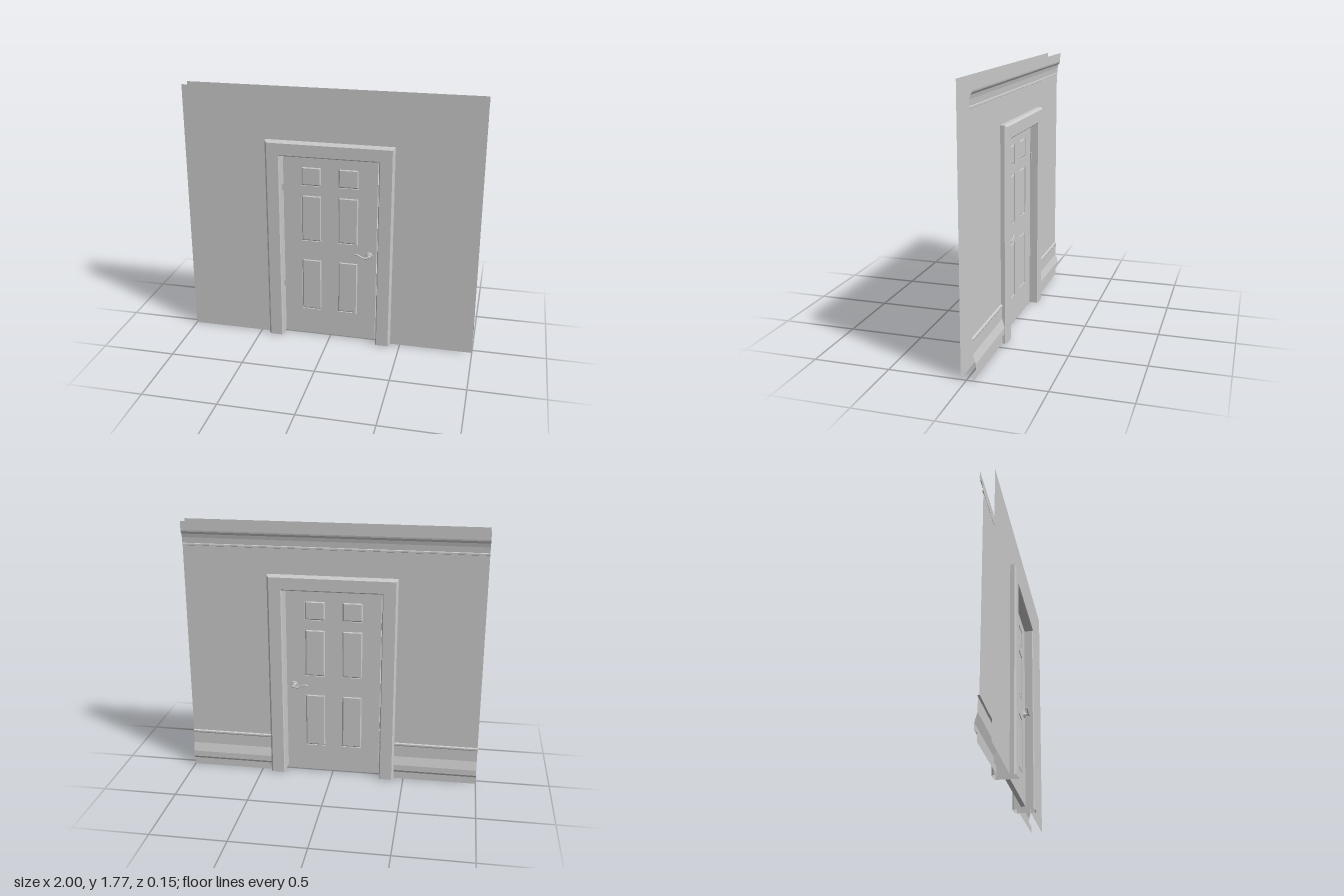
import * as THREE from 'three';

const grey = new THREE.MeshStandardMaterial({ color: 0xcccccc });
const thin = new THREE.MeshStandardMaterial({ color: 0xcccccc, side: THREE.DoubleSide });

// Join neighbouring cross-sections with flat-shaded quads
function loft(sections) {
  const pos = [];
  for (let i = 0; i < sections.length - 1; i++) {
    for (let j = 0; j < sections[i].length - 1; j++) {
      const a = sections[i][j], b = sections[i + 1][j];
      const c = sections[i + 1][j + 1], d = sections[i][j + 1];
      pos.push(...a, ...b, ...c, ...a, ...c, ...d);
    }
  }
  const g = new THREE.BufferGeometry();
  g.setAttribute('position', new THREE.Float32BufferAttribute(pos, 3));
  g.computeVertexNormals();
  return g;
}

function rect(Type, x0, y0, x1, y1) {
  const s = new Type();
  s.moveTo(x0, y0);
  s.lineTo(x1, y0);
  s.lineTo(x1, y1);
  s.lineTo(x0, y1);
  s.closePath();
  return s;
}

export function createModel() {
  const model = new THREE.Group();
  model.name = 'doorInWall';
  const add = (name, geometry, material = grey, parent = model) => {
    const m = new THREE.Mesh(geometry, material);
    m.name = name;
    parent.add(m);
    return m;
  };

  const H = 1.77, holeX = 0.4, holeY = 1.39, wallZ = 0.035;

  // Front wall: plain sheet around the doorway
  const wall = new THREE.Shape();
  [[-1, 0], [-holeX, 0], [-holeX, holeY], [holeX, holeY], [holeX, 0], [1, 0], [1, H], [-1, H]]
    .forEach(([x, y], i) => (i ? wall.lineTo(x, y) : wall.moveTo(x, y)));
  add('frontWall', new THREE.ShapeGeometry(wall), thin).position.z = wallZ;

  // Back wall: one profile (y, z) holding baseboard, flat wall and crown moulding
  const base = [[0, -0.043], [0.05, -0.043], [0.07, -0.06], [0.11, -0.06], [0.17, -0.043],
    [0.25, -0.043], [0.256, -0.046], [0.266, -0.046], [0.27, -wallZ]];
  const middle = [[holeY, -wallZ]];
  const crown = [[1.605, -wallZ], [1.608, -0.041], [1.618, -0.041], [1.622, -0.038], [1.66, -0.041],
    [1.685, -0.047], [1.7, -0.058], [1.71, -0.06], [H, -0.06]];
  const strip = (profile, x0, x1) =>
    loft([x1, x0].map((x) => profile.map(([y, z]) => [x, y, z])));
  const full = [...base, ...middle, ...crown];
  add('backWallRight', strip(full, -1, -holeX), thin);
  add('backWallLeft', strip(full, holeX, 1), thin);
  add('backWallOverDoor', strip([...middle, ...crown], -holeX, holeX), thin);

  // Door frame: chamfered section (outward offset, z) swept up, across and down
  const section = [[0, 0.068], [0.007, 0.075], [0.087, 0.075], [0.1, 0.062],
    [0.1, -0.062], [0.087, -0.075], [0.007, -0.075], [0, -0.068], [0, 0.068]];
  const openX = 0.333, openY = 1.333;
  const stations = [[-1, 0], [-1, 1], [1, 1], [1, 0]];
  add('doorFrame', loft(stations.map(([side, top]) =>
    section.map(([d, z]) => [side * (openX + d), top * (openY + d), z]))), thin);

  // Door leaf with six panel openings
  const door = new THREE.Group();
  door.name = 'door';
  model.add(door);
  const T = 0.03;
  const leaf = rect(THREE.Shape, -0.323, 0.012, 0.318, 1.327);
  const panels = [];
  for (const [x0, x1] of [[-0.2, -0.064], [0.054, 0.19]]) {
    for (const [y0, y1] of [[0.2, 0.58], [0.72, 1.05], [1.12, 1.25]]) panels.push([x0, y0, x1, y1]);
  }
  leaf.holes = panels.map((p) => rect(THREE.Path, ...p));
  const leafGeo = new THREE.ExtrudeGeometry(leaf, { depth: T, bevelEnabled: false });
  add('doorLeaf', leafGeo.translate(0, 0, -T / 2), grey, door);

  // Raised panels with sloping edges on both faces
  const b = 0.009;
  for (const [x0, y0, x1, y1] of panels) {
    const g = new THREE.ExtrudeGeometry(rect(THREE.Shape, x0 + b, y0 + b, x1 - b, y1 - b), {
      depth: 0.01, bevelThickness: 0.008, bevelSize: b, bevelSegments: 1,
    });
    add('doorPanel', g.translate(0, 0, -0.005), grey, door);
  }

  // Lever handle on each face: rosette, boss, spindle and wavy lever
  for (const s of [1, -1]) {
    const handle = new THREE.Group();
    handle.name = s > 0 ? 'frontHandle' : 'backHandle';
    door.add(handle);
    const disc = (name, r0, r1, depth, z) => {
      const m = add(name, new THREE.CylinderGeometry(r1, r0, depth, 24), grey, handle);
      m.rotation.x = s * Math.PI / 2;
      m.position.set(0.268, 0.65, s * z);
    };
    disc('rosette', 0.025, 0.021, 0.008, 0.018);
    disc('boss', 0.015, 0.011, 0.008, 0.025);
    disc('spindle', 0.007, 0.007, 0.03, 0.035);
    const path = new THREE.CatmullRomCurve3(
      [[0.275, 0.65, 0.047], [0.255, 0.644, 0.05], [0.23, 0.645, 0.05], [0.205, 0.658, 0.049],
        [0.188, 0.663, 0.048], [0.172, 0.657, 0.046]].map(([x, y, z]) => new THREE.Vector3(x, y, s * z)));
    add('lever', new THREE.TubeGeometry(path, 30, 0.0055, 10), grey, handle);
    for (const t of [0, 1]) {
      add('leverEnd', new THREE.SphereGeometry(t ? 0.0055 : 0.008, 12, 8), grey, handle)
        .position.copy(path.getPoint(t));
    }
  }

  // Hinges: knuckle and leaf between door and frame
  for (const y of [0.385, 1.1]) {
    const hinge = new THREE.Group();
    hinge.name = 'hinge';
    hinge.position.set(-0.328, y, 0);
    door.add(hinge);
    add('hingeKnuckle', new THREE.CylinderGeometry(0.005, 0.005, 0.05, 12), grey, hinge).position.z = -0.019;
    add('hingeLeaf', new THREE.BoxGeometry(0.01, 0.045, 0.028), grey, hinge);
  }

  return model;
}
